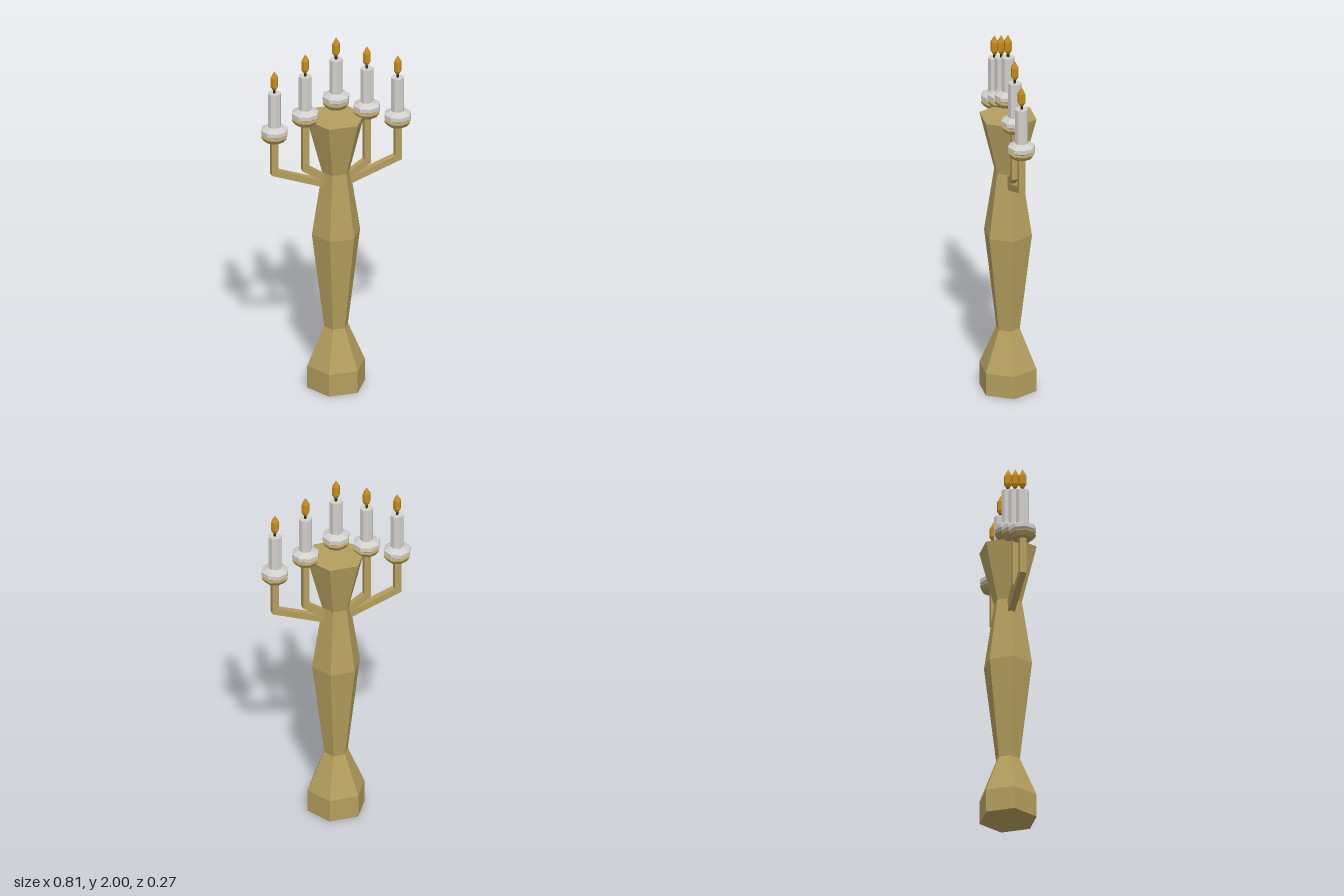
import * as THREE from 'three';

const brass = new THREE.MeshStandardMaterial({ name: 'brass', color: 0xb59f5e });
const wax = new THREE.MeshStandardMaterial({ name: 'wax', color: 0xd2d0cc });
const flameGold = new THREE.MeshStandardMaterial({ name: 'flameGold', color: 0xc58c1c });
const wickBlack = new THREE.MeshStandardMaterial({ name: 'wickBlack', color: 0x2a2620 });

function mesh(name, geometry, material) {
  const flat = geometry.index ? geometry.toNonIndexed() : geometry;
  flat.computeVertexNormals(); // faceted look
  const m = new THREE.Mesh(flat, material);
  m.name = name;
  return m;
}

// Faceted turned part from [radius, height] pairs, listed bottom to top, corners on the x axis
function turned(name, profile, sides, material) {
  const points = profile.map(([r, y]) => new THREE.Vector2(r, y));
  return mesh(name, new THREE.LatheGeometry(points, sides, Math.PI / 2), material);
}

// Candle with its holder; y = 0 is the underside of the brass cup
function createCandle(name) {
  const g = new THREE.Group();
  g.name = name;
  g.add(
    turned('cup', [[0, 0], [0.055, 0], [0.071, 0.022], [0.071, 0.028], [0.04, 0.034], [0, 0.034]], 8, brass),
    turned('dripPan', [[0, 0.022], [0.045, 0.022], [0.072, 0.042], [0.072, 0.064], [0.036, 0.082], [0, 0.082]], 8, wax),
    turned('candleStick', [[0.035, 0.075], [0.035, 0.272], [0, 0.272]], 8, wax),
    turned('wick', [[0.007, 0.27], [0.007, 0.3]], 6, wickBlack),
    turned('flame', [[0, 0.291], [0.009, 0.291], [0.021, 0.31], [0.021, 0.36], [0, 0.397]], 6, flameGold)
  );
  return g;
}

// Square bar that leaves the body at an angle and bends upright with a mitred corner
function createArm(name, x, top, bendY, endX, endY) {
  const h = 0.0175;
  const slope = Math.atan2(bendY - endY, x - endX);
  const miter = h * Math.tan((Math.PI / 2 - slope) / 2);
  const nx = -Math.sin(slope) * h, ny = Math.cos(slope) * h;
  const shape = new THREE.Shape([
    [x + h, top], [x - h, top], [x - h, bendY + miter],
    [endX + nx, endY + ny], [endX - nx, endY - ny], [x + h, bendY - miter],
  ].map(([px, py]) => new THREE.Vector2(px, py)));
  const geometry = new THREE.ExtrudeGeometry(shape, { depth: 2 * h, bevelEnabled: false });
  geometry.translate(0, 0, -h);
  return mesh(name, geometry, brass);
}

export function createModel() {
  const model = new THREE.Group();
  model.name = 'candelabra';

  // Six-sided stem
  model.add(turned('stem', [
    [0, 0], [0.155, 0], [0.155, 0.125], [0.064, 0.343],
    [0.13, 0.88], [0.075, 1.235], [0.155, 1.54], [0, 1.54],
  ], 6, brass));

  // Centre candle
  const centre = createCandle('centreCandle');
  centre.position.y = 1.603;
  model.add(centre);

  // Side arms and candles, mirrored
  for (const [side, s] of [['left', 1], ['right', -1]]) {
    for (const [place, x, y, endX, endY] of [['Inner', 0.166, 1.528, 0.05, 1.19], ['Outer', 0.332, 1.453, 0.06, 1.166]]) {
      const candle = createCandle(`${side}${place}Candle`);
      candle.position.set(s * x, y, 0);
      const arm = createArm(`${side}${place}Arm`, x, y + 0.01, 1.268, endX, endY);
      if (s < 0) arm.rotation.y = Math.PI;
      model.add(candle, arm);
    }
  }
  return model;
}
